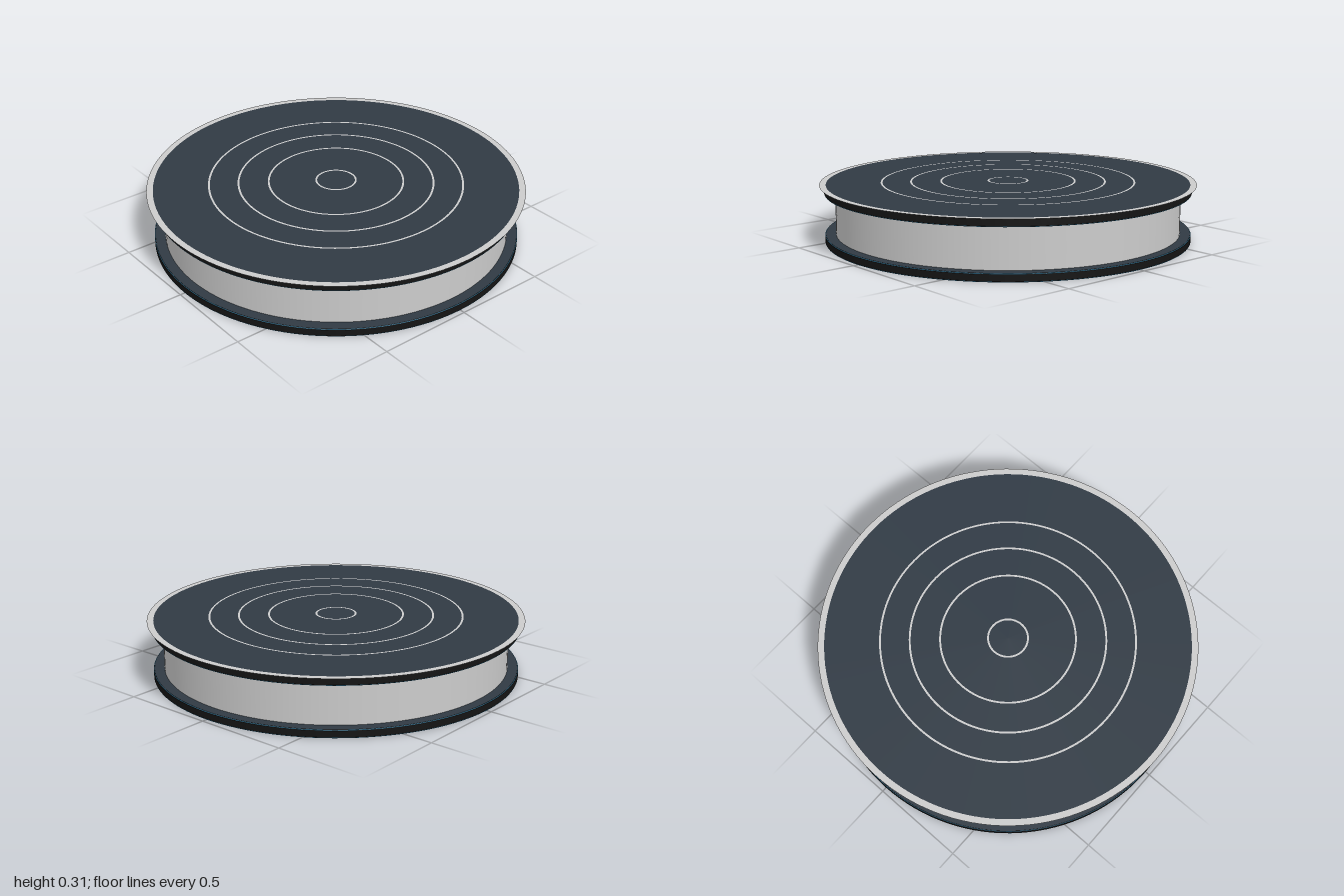
import * as THREE from 'three';

const SEGMENTS = 128;
const grey = new THREE.MeshStandardMaterial({ color: 0xcccccc, side: THREE.DoubleSide });
const black = new THREE.MeshStandardMaterial({ color: 0x141414 });
const slate = new THREE.MeshStandardMaterial({ color: 0x303a44 });
const blue = new THREE.MeshStandardMaterial({ color: 0x3f8fb8 });

function add(group, name, geometry, material, y) {
  const mesh = new THREE.Mesh(geometry, material);
  mesh.name = name;
  mesh.position.y = y;
  group.add(mesh);
  return mesh;
}

function flatRing(inner, outer) {
  return new THREE.RingGeometry(inner, outer, SEGMENTS).rotateX(-Math.PI / 2);
}

// A thin disc with a tiny bevel, a slate top face and a fine blue line on each edge
function flange(name, radius, height) {
  const group = new THREE.Group();
  group.name = name;
  const b = 0.004;
  // Doubled corner points keep the edges crisp
  const profile = [
    [0, 0], [radius - b, 0], [radius - b, 0], [radius, b], [radius, b],
    [radius, height - b], [radius, height - b], [radius - b, height], [radius - b, height], [0, height],
  ].map(([x, y]) => new THREE.Vector2(x, y));
  add(group, 'flangeBody', new THREE.LatheGeometry(profile, SEGMENTS), black, 0);
  add(group, 'flangeFace', new THREE.CircleGeometry(radius - b, SEGMENTS).rotateX(-Math.PI / 2), slate, height + 0.0008);
  for (const y of [b / 2, height - b / 2]) {
    const line = new THREE.TorusGeometry(radius - b / 2, 0.002, 6, SEGMENTS).rotateX(Math.PI / 2);
    add(group, 'edgeLine', line, blue, y);
  }
  return group;
}

export function createModel() {
  const model = new THREE.Group();
  model.name = 'roundPlatform';

  // Two matching flanges with the drum between them
  const thickness = 0.042;
  const topY = 0.262;
  const lower = flange('lowerFlange', 0.975, thickness);
  const upper = flange('upperFlange', 0.975, thickness);
  upper.position.y = topY;
  model.add(lower, upper);

  add(model, 'drum', new THREE.CylinderGeometry(0.918, 0.918, topY - thickness, SEGMENTS, 1, true),
    grey, (topY + thickness) / 2);

  // Flat outer rim and concentric lines lying on the upper face
  const faceY = topY + thickness + 0.002;
  add(model, 'outerRim', flatRing(0.966, 1), grey, faceY);
  for (const radius of [0.105, 0.357, 0.517, 0.673]) {
    add(model, 'concentricLine', flatRing(radius - 0.005, radius + 0.005), grey, faceY);
  }
  return model;
}
